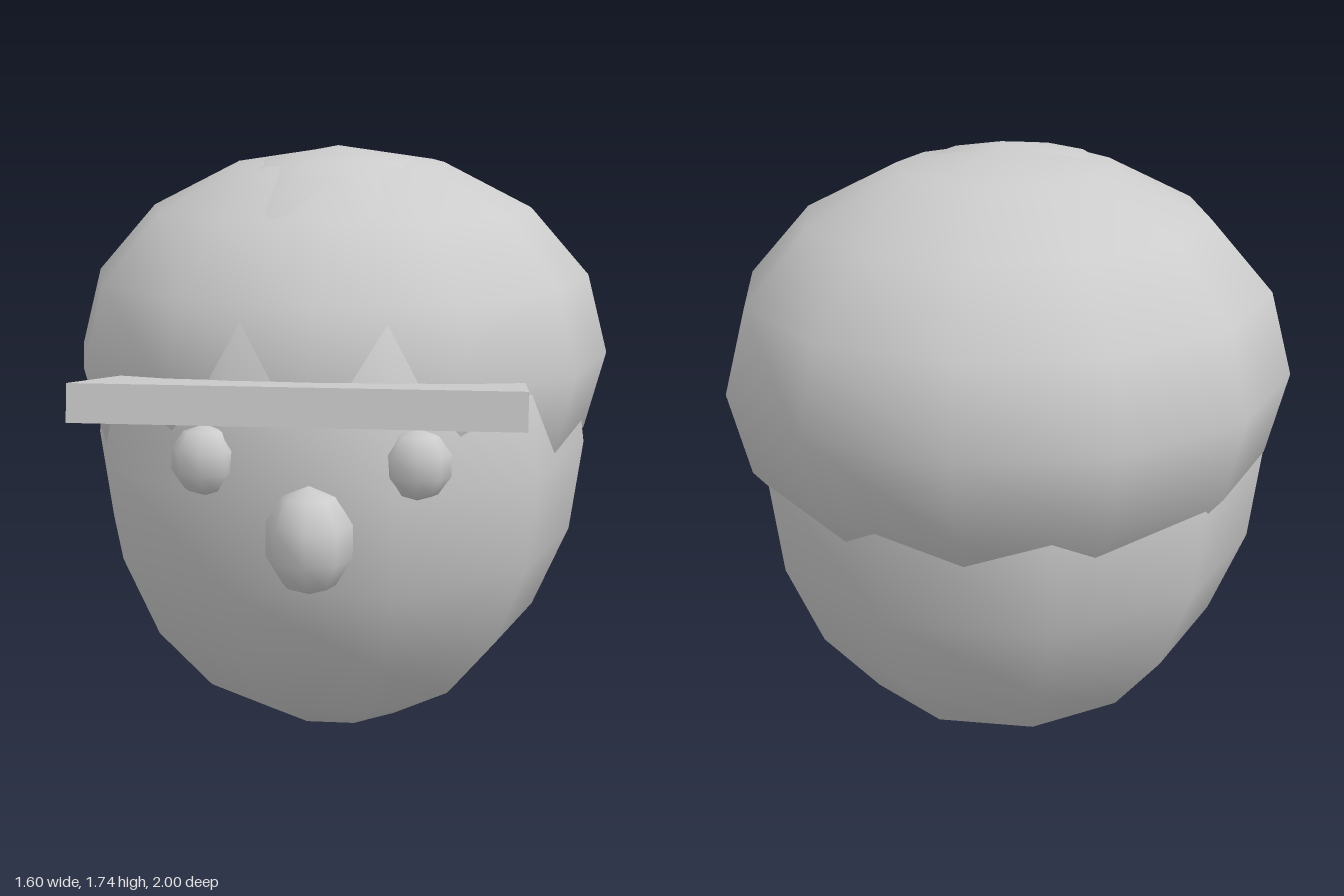
import * as THREE from 'three';

export function createModel() {
  const group = new THREE.Group();
  const grey = new THREE.MeshStandardMaterial({ color: 0xcccccc });
  grey.name = 'plain grey';

  // Low-sided ellipsoid with smooth shading
  function ellipsoid(name, segments, radii, position) {
    const mesh = new THREE.Mesh(new THREE.SphereGeometry(1, ...segments), grey);
    mesh.name = name;
    mesh.scale.set(...radii);
    mesh.position.set(...position);
    group.add(mesh);
  }

  // Head, and the cap pulled over it towards the back
  ellipsoid('head', [10, 10], [0.737, 0.87, 0.815], [0, 0.872, -0.072]);
  ellipsoid('cap', [12, 8], [0.8, 0.607, 0.846], [0, 1.13, -0.154]);

  // Face
  ellipsoid('nose', [8, 5], [0.12, 0.146, 0.12], [0, 0.765, 0.7]);
  for (const [name, side] of [['leftEye', 1], ['rightEye', -1]]) {
    ellipsoid(name, [8, 5], [0.092, 0.095, 0.07], [side * 0.278, 0.965, 0.663]);
  }

  // Visor, tilted up at the front, its back end buried in the cap
  const visor = new THREE.Mesh(new THREE.BoxGeometry(1.106, 0.096, 0.8), grey);
  visor.name = 'visor';
  visor.position.set(0, 1.117, 0.598);
  visor.rotation.x = -0.151;
  group.add(visor);

  return group;
}
